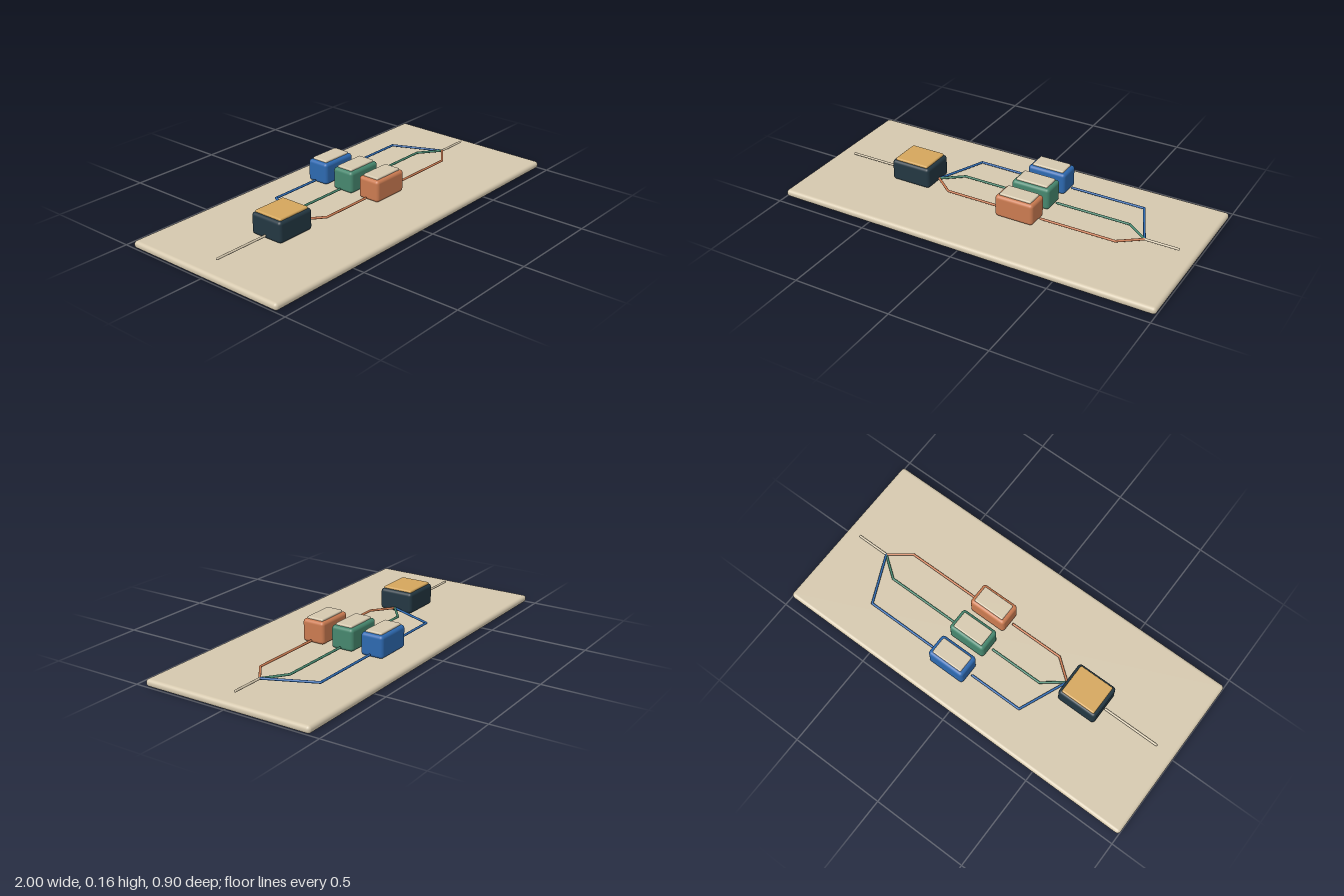
import * as THREE from 'three';
import { RoundedBoxGeometry } from 'three/addons/geometries/RoundedBoxGeometry.js';

const mat = (name, color) => {
  const m = new THREE.MeshStandardMaterial({ color });
  m.name = name;
  return m;
};

export function createModel() {
  const model = new THREE.Group();
  const sand = mat('sand', 0xd5c8ae);
  const navy = mat('dark navy', 0x233742);
  const gold = mat('gold', 0xd4a65c);
  const blue = mat('blue', 0x2d69b0);
  const green = mat('green', 0x46876e);
  const orange = mat('orange', 0xcb7b51);

  // Rounded block given its bounds in y and its centre in x and z
  const block = (name, material, w, d, y0, y1, x, z, r) => {
    const mesh = new THREE.Mesh(new RoundedBoxGeometry(w, y1 - y0, d, 4, r), material);
    mesh.name = name;
    mesh.position.set(x, (y0 + y1) / 2, z);
    model.add(mesh);
  };

  // Thin round wire through [x, z] points, with ball joints at the bends
  const wireY = 0.057, wireR = 0.006;
  const wire = (name, material, points) => {
    const group = new THREE.Group();
    group.name = name;
    const pts = points.map(([x, z]) => new THREE.Vector3(x, wireY, z));
    for (let i = 0; i < pts.length - 1; i++) {
      const path = new THREE.LineCurve3(pts[i], pts[i + 1]);
      group.add(new THREE.Mesh(new THREE.TubeGeometry(path, 1, wireR, 12), material));
    }
    for (const p of pts) {
      const joint = new THREE.Mesh(new THREE.SphereGeometry(wireR, 12, 8), material);
      joint.position.copy(p);
      group.add(joint);
    }
    model.add(group);
  };

  // Board
  block('baseBoard', sand, 2, 0.9, 0, 0.037, 0, 0, 0.017);

  // Splitter box with its lid
  block('splitterBox', navy, 0.216, 0.184, 0.037, 0.147, -0.49, 0, 0.017);
  block('splitterLid', gold, 0.186, 0.16, 0.141, 0.157, -0.49, 0, 0.007);

  // Three parallel branches: block, cap and wires on both sides
  for (const [name, material, z] of [['blue', blue, -0.249], ['green', green, -0.083], ['orange', orange, 0.083]]) {
    block(name + 'Block', material, 0.205, 0.122, 0.039, 0.153, 0.13, z, 0.017);
    block(name + 'Cap', sand, 0.17, 0.09, 0.149, 0.163, 0.13, z, 0.006);
    wire(name + 'InputWire', material, [[-0.377, 0], [-0.272, z], [0.01, z]]);
    wire(name + 'OutputWire', material, [[0.248, z], [0.637, z], [0.748, 0]]);
  }

  // Shared wires in and out
  wire('mainInputWire', sand, [[-0.9, 0], [-0.605, 0]]);
  wire('mainOutputWire', sand, [[0.75, 0], [0.917, 0]]);

  return model;
}
